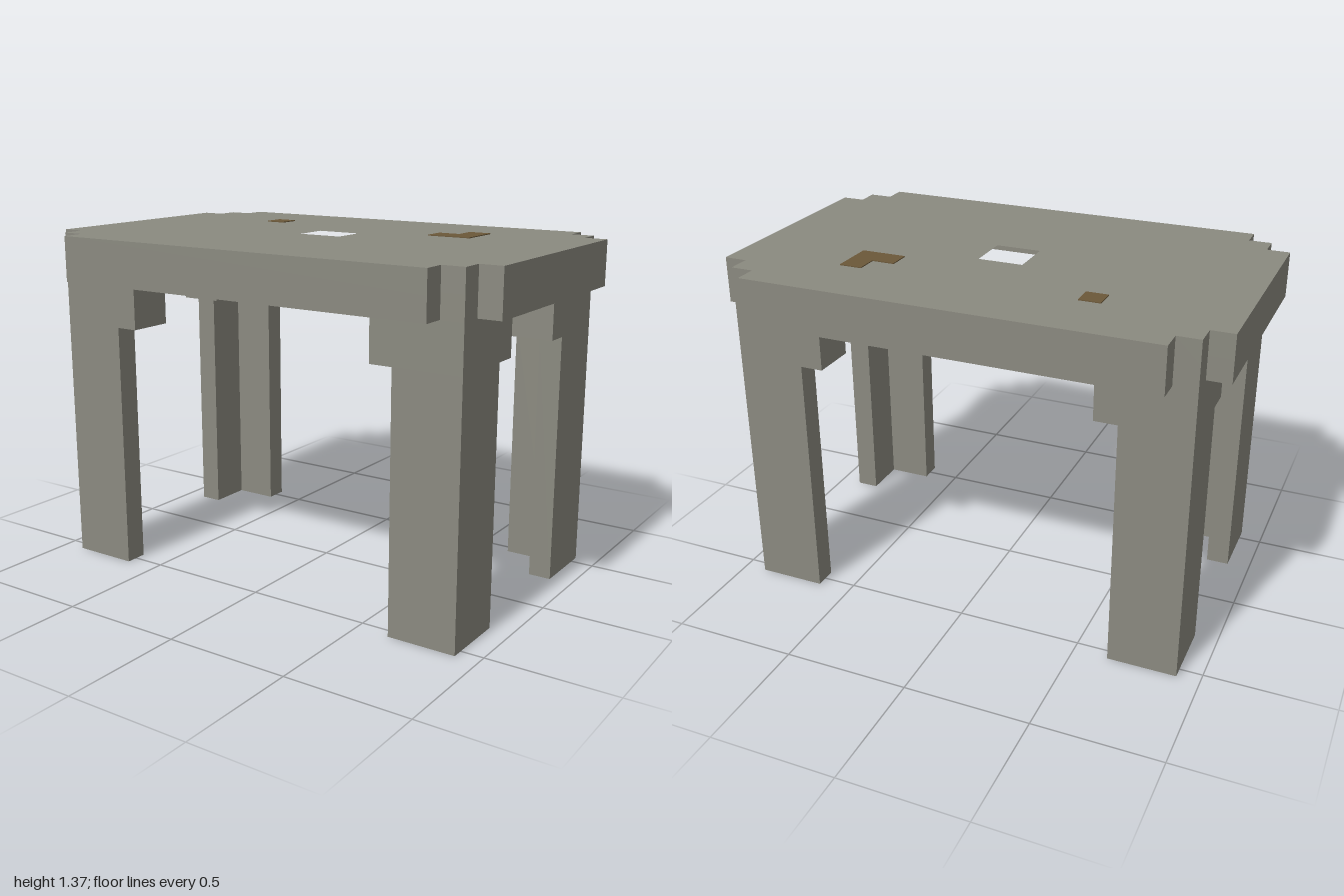
import * as THREE from 'three';

const U = 1 / 11; // one block

export function createModel() {
  const model = new THREE.Group();
  model.name = 'blockTable';
  const stone = new THREE.MeshStandardMaterial({ color: 0x8b8a80 });
  stone.name = 'greyStone';
  const brown = new THREE.MeshStandardMaterial({ color: 0x6b5839 });
  brown.name = 'brownStain';

  // Box given by its limits in blocks
  function block(name, parent, material, x0, x1, y0, y1, z0, z1) {
    const geo = new THREE.BoxGeometry((x1 - x0) * U, (y1 - y0) * U, (z1 - z0) * U);
    const mesh = new THREE.Mesh(geo, material);
    mesh.position.set((x0 + x1) * U / 2, (y0 + y1) * U / 2, (z0 + z1) * U / 2);
    mesh.name = name;
    parent.add(mesh);
  }

  // Prism over a plan outline in blocks (plan y runs to -z)
  function prism(name, parent, points, y0, y1, hole) {
    const toVec = ([x, z]) => new THREE.Vector2(x * U, -z * U);
    const shape = new THREE.Shape(points.map(toVec));
    if (hole) shape.holes.push(new THREE.Path(hole.map(toVec)));
    const geo = new THREE.ExtrudeGeometry(shape, { depth: (y1 - y0) * U, bevelEnabled: false });
    geo.rotateX(-Math.PI / 2);
    const mesh = new THREE.Mesh(geo, stone);
    mesh.position.y = y0 * U;
    mesh.name = name;
    parent.add(mesh);
  }

  // Table top with stepped corners and a square hole
  const quarter = [[11, 5], [10, 5], [10, 6], [9, 6], [9, 7]];
  const flip = (sx, sz) => quarter.map(([x, z]) => [x * sx, z * sz]);
  const outline = [
    ...flip(1, 1), ...flip(-1, 1).reverse(),
    ...flip(-1, -1), ...flip(1, -1).reverse(),
  ];
  prism('tableTop', model, outline, 14, 15, [[-1, -1], [1, -1], [1, 1], [-1, 1]]);

  // Rim hanging below the edge of the top
  const rim = new THREE.Group();
  rim.name = 'rim';
  model.add(rim);
  for (const s of [-1, 1]) {
    block('sideRim', rim, stone, s * 10.5 - 0.5, s * 10.5 + 0.5, 13, 14, -5, 5);
    block('longRim', rim, stone, -9, 9, 13, 14, s * 6.5 - 0.5, s * 6.5 + 0.5);
  }

  // Angle-shaped plan, measured inward from a leg's outer corner
  const angle = (sx, sz, length, thick) =>
    [[0, 0], [length, 0], [length, thick], [thick, thick], [thick, length], [0, length]]
      .map(([a, b]) => [sx * (10 - a), sz * (6 - b)]);

  // Four legs with a wider bracket and a block joining the top
  for (const sx of [-1, 1]) for (const sz of [-1, 1]) {
    const leg = new THREE.Group();
    leg.name = (sz > 0 ? 'front' : 'back') + (sx > 0 ? 'Left' : 'Right') + 'Leg';
    prism('post', leg, angle(sx, sz, 3, 1), 0, 11);
    prism('bracket', leg, angle(sx, sz, 4, 2), 11, 13);
    block('cornerBlock', leg, stone, sx * 9.5 - 0.5, sx * 9.5 + 0.5, 13, 14, sz * 5.5 - 0.5, sz * 5.5 + 0.5);
    model.add(leg);
  }

  // Brown stains as thin plates
  const t = 0.04;
  block('smallStain', model, brown, -5.5, -4.55, 15, 15 + t, -4, -3.05);
  block('bentStainLong', model, brown, 4, 6, 15, 15 + t, -3, -2);
  block('bentStainShort', model, brown, 5, 6, 15, 15 + t, -4, -3);
  block('undersideStain', model, brown, 5, 6, 14 - t, 14, -4, -3);

  // Keep the feet on the ground and the whole centred
  return model;
}
